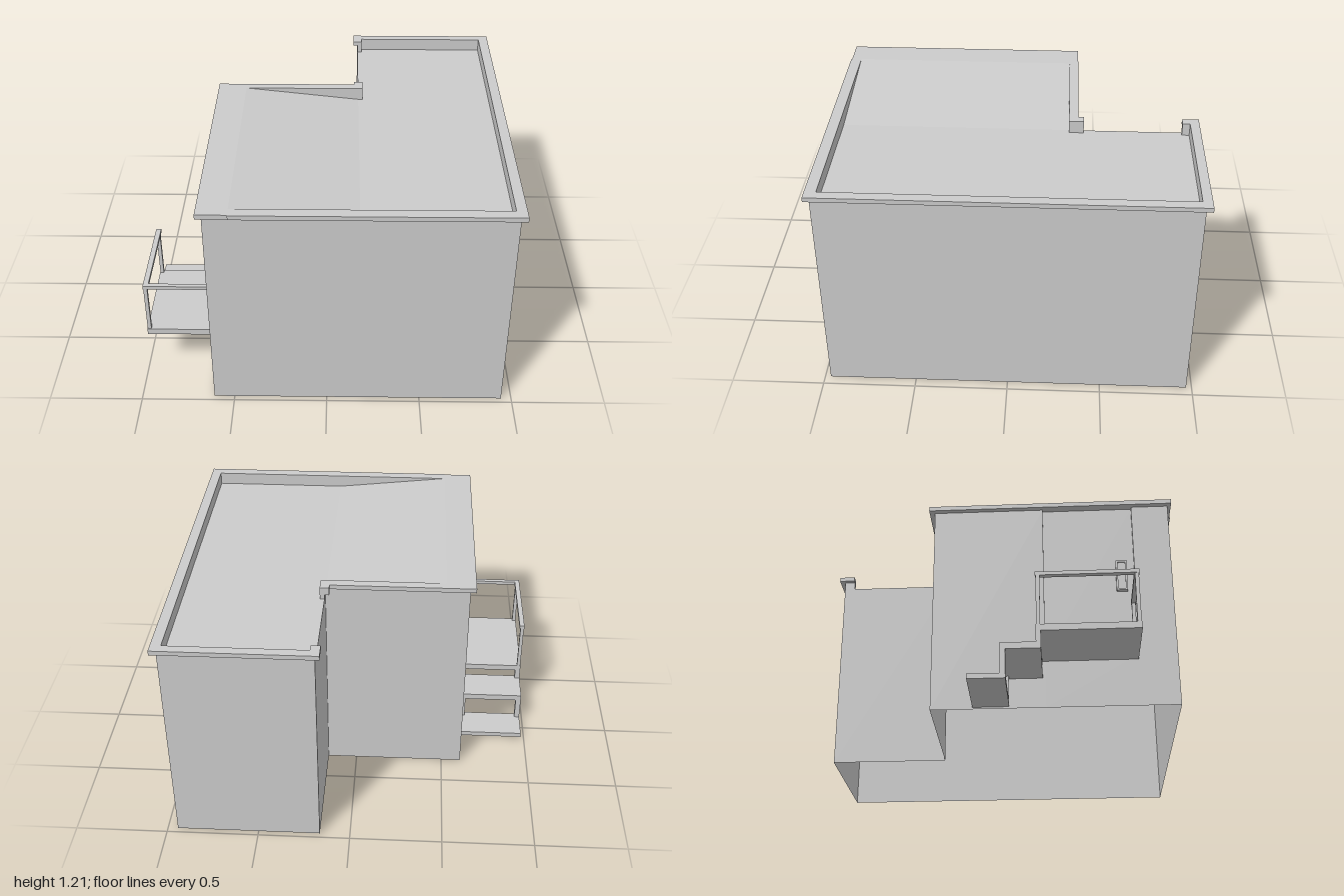
import * as THREE from 'three';

export function createModel() {
  const model = new THREE.Group();
  const mat = new THREE.MeshStandardMaterial({ color: 0xcccccc, flatShading: true, side: THREE.DoubleSide });

  const group = (name) => {
    const g = new THREE.Group();
    g.name = name;
    model.add(g);
    return g;
  };
  // Box given by its limits on each axis
  const box = (parent, name, [x0, x1], [y0, y1], [z0, z1]) => {
    const m = new THREE.Mesh(new THREE.BoxGeometry(x1 - x0, y1 - y0, z1 - z0), mat);
    m.position.set((x0 + x1) / 2, (y0 + y1) / 2, (z0 + z1) / 2);
    m.name = name;
    parent.add(m);
  };
  // Thin upright wall between two plan points
  const wall = (parent, name, [xa, za], [xb, zb], y0, y1) => {
    const m = new THREE.Mesh(new THREE.PlaneGeometry(Math.hypot(xb - xa, zb - za), y1 - y0), mat);
    m.position.set((xa + xb) / 2, (y0 + y1) / 2, (za + zb) / 2);
    m.rotation.y = -Math.atan2(zb - za, xb - xa);
    m.name = name;
    parent.add(m);
  };

  const L = -0.61, R = 0.945, F = 0.97, B = -0.97; // outer wall planes
  const NX = 0.165, NZ = -0.32;                    // inner corner of the L plan
  const EAVE = 1.185, TOP = 1.21, DECK = 1.14;
  const D0 = 0.28, D1 = 0.77, SILL = 0.29;         // doorway

  // Walls of the L-shaped building, open underneath
  const walls = group('walls');
  wall(walls, 'frontWall', [L, F], [R, F], 0, EAVE);
  wall(walls, 'leftWall', [R, F], [R, B], 0, EAVE);
  wall(walls, 'backWall', [R, B], [NX, B], 0, EAVE);
  wall(walls, 'notchSideWall', [NX, B], [NX, NZ], 0, DECK);
  wall(walls, 'notchBackWall', [NX, NZ], [L, NZ], 0, EAVE);
  wall(walls, 'doorWallBack', [L, NZ], [L, D0], 0, EAVE);
  wall(walls, 'doorWallFront', [L, D1], [L, F], 0, EAVE);
  wall(walls, 'doorWallBelow', [L, D0], [L, D1], 0, SILL);

  // Door set back in its opening, with reveals and a framed handle
  const door = group('door');
  const DX = L + 0.02;
  wall(door, 'doorPanel', [DX, D0], [DX, D1], SILL, EAVE);
  for (const z of [D0, D1]) wall(door, 'doorReveal', [L, z], [DX, z], SILL, EAVE);
  box(door, 'doorSill', [L, DX], [SILL - 0.004, SILL], [D0, D1]);
  box(door, 'handlePlate', [DX - 0.012, DX + 0.008], [0.68, 0.84], [0.675, 0.725]);
  for (const z of [0.67, 0.72]) box(door, 'handleFrameSide', [DX - 0.02, DX + 0.01], [0.67, 0.85], [z, z + 0.01]);
  for (const y of [0.67, 0.84]) box(door, 'handleFrameEnd', [DX - 0.02, DX + 0.01], [y, y + 0.01], [0.67, 0.73]);

  // Roof deck: level on one side, rising to the rim above the door
  const roof = group('roof');
  const deck = (name, x0, y0, x1, y1, z0, z1) => {
    const g = new THREE.PlaneGeometry(x1 - x0, z1 - z0).rotateX(-Math.PI / 2);
    g.translate((x0 + x1) / 2, 0, (z0 + z1) / 2);
    const p = g.attributes.position;
    for (let i = 0; i < p.count; i++) p.setY(i, p.getX(i) < (x0 + x1) / 2 ? y0 : y1);
    g.computeVertexNormals();
    const m = new THREE.Mesh(g, mat);
    m.name = name;
    roof.add(m);
  };
  deck('levelDeck', NX, DECK, 0.93, DECK, -0.96, 0.95);
  deck('slopingDeck', -0.48, TOP, NX, DECK, -0.31, 0.95);

  // Overhanging rim, with an upstand down to the deck
  const rim = group('roofRim');
  const edge = (name, x, z, ux, uz) => {
    box(rim, name, x, [EAVE, TOP], z);
    box(rim, name + 'Upstand', ux, [DECK - 0.01, EAVE], uz);
  };
  box(rim, 'doorSideRim', [-0.64, -0.48], [EAVE, TOP], [-0.35, 0.99]);
  edge('frontRim', [-0.48, 0.975], [0.935, 0.995], [-0.48, R], [0.935, F]);
  edge('leftRim', [0.92, 0.975], [-0.95, 0.935], [0.92, R], [-0.95, 0.935]);
  edge('backRim', [0.14, 0.975], [-1, -0.95], [NX, R], [B, -0.95]);
  edge('notchRim', [-0.48, 0.19], [-0.35, -0.3], [-0.48, 0.19], [NZ, -0.3]);
  edge('backRimReturn', [0.14, 0.19], [-0.95, -0.91], [NX, 0.19], [-0.95, -0.91]);
  box(rim, 'notchRimReturn', [0.14, 0.19], [EAVE - 0.02, TOP], [-0.38, -0.35]);
  box(rim, 'notchRimReturnUpstand', [NX, 0.19], [DECK - 0.01, EAVE], [-0.38, NZ]);

  // Landing and two open steps
  const stairs = group('stairs');
  const X0 = -0.98;
  box(stairs, 'landing', [X0, L], [0.26, 0.295], [0.24, 0.765]);
  box(stairs, 'middleTread', [X0, L], [0.165, 0.2], [0.06, 0.265]);
  box(stairs, 'lowerTread', [X0, L], [0.01, 0.037], [-0.1, 0.09]);
  for (const x of [[X0, X0 + 0.03], [L - 0.035, L]]) {
    box(stairs, 'lowerRiserPost', x, [0.037, 0.165], [0.06, 0.09]);
    box(stairs, 'upperRiserPost', x, [0.2, 0.26], [0.24, 0.265]);
  }

  // Handrail round the outer and front edges of the landing
  const rail = group('handrail');
  for (const [x, z] of [[-0.978, 0.243], [-0.978, 0.742], [-0.642, 0.742]])
    box(rail, 'railPost', [x, x + 0.02], [0.295, 0.575], [z, z + 0.02]);
  box(rail, 'outerRail', [X0, X0 + 0.028], [0.57, 0.59], [0.24, 0.765]);
  box(rail, 'frontRail', [X0 + 0.028, -0.62], [0.57, 0.59], [0.74, 0.765]);

  return model;
}
